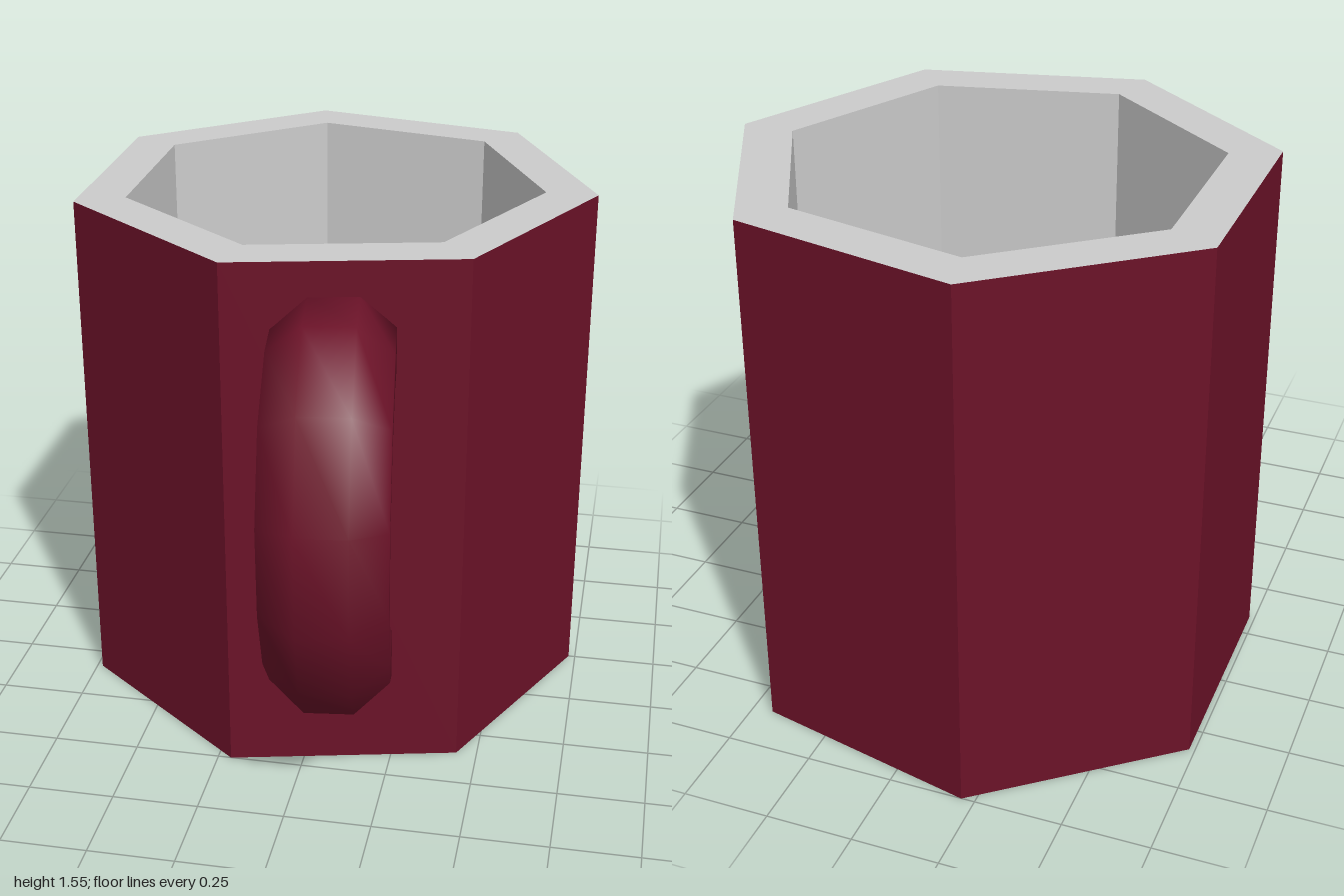
import * as THREE from 'three';

const red = new THREE.MeshStandardMaterial({ color: 0x6b1228 });
const redFlat = red.clone();
redFlat.flatShading = true;
const greyFlat = new THREE.MeshStandardMaterial({ color: 0xcccccc, flatShading: true, side: THREE.DoubleSide });

const HEIGHT = 1.55, OUTER = 0.77, INNER = 0.62;

// Seven-sided shell from [radius, height] pairs, with one corner on +x
function sevenSided(name, profile, material) {
  const points = profile.map(([r, y]) => new THREE.Vector2(r, y));
  const mesh = new THREE.Mesh(new THREE.LatheGeometry(points, 7, Math.PI / 2), material);
  mesh.name = name;
  mesh.position.set(-0.04, 0, -0.25);
  return mesh;
}

// Octagonal handle: each station gives the outer and inner edge in (z, y)
function handleGeometry() {
  const stations = [
    [0.42, 1.45, 0.42, 1.15],
    [0.62, 1.44, 0.54, 1.165],
    [0.86, 1.30, 0.71, 1.12],
    [0.99, 1.03, 0.80, 1.00],
    [0.97, 0.73, 0.77, 0.83],
    [0.85, 0.485, 0.67, 0.69],
    [0.66, 0.30, 0.52, 0.575],
    [0.42, 0.17, 0.41, 0.53],
  ];
  const sides = 8, halfWidth = 0.167, lean = 0.13;
  const positions = [], index = [];
  stations.forEach(([zo, yo, zi, yi], i) => {
    for (let j = 0; j < sides; j++) {
      const a = ((j + 0.5) / sides) * Math.PI * 2;
      const k = 1 / Math.cos(Math.PI / sides);
      const u = Math.cos(a) * k * halfWidth;
      const t = 0.5 + 0.5 * Math.sin(a) * k;
      const z = zi + (zo - zi) * t;
      const y = yi + (yo - yi) * t;
      // the handle leans slightly sideways as it leaves the wall
      positions.push(0.083 + (z - 0.43) * lean + u, y, z - u * lean);
      if (i < stations.length - 1) {
        const n = (j + 1) % sides;
        const p = i * sides + j, q = i * sides + n;
        index.push(p, q, p + sides, q, q + sides, p + sides);
      }
    }
  });
  // end caps against the wall
  const last = (stations.length - 1) * sides;
  for (let j = 1; j < sides - 1; j++) {
    index.push(0, j + 1, j);
    index.push(last, last + j, last + j + 1);
  }
  const geometry = new THREE.BufferGeometry();
  geometry.setAttribute('position', new THREE.Float32BufferAttribute(positions, 3));
  geometry.setIndex(index);
  geometry.computeVertexNormals();
  return geometry;
}

export function createModel() {
  const mug = new THREE.Group();
  mug.name = 'mug';

  // Outer wall and the ring it stands on
  mug.add(sevenSided('outerWall', [[INNER, 0], [OUTER, 0], [OUTER, HEIGHT]], redFlat));

  // Rim, inner wall and floor
  mug.add(sevenSided('rimAndLining', [[OUTER, HEIGHT], [INNER, HEIGHT], [INNER, 0], [0, 0]], greyFlat));

  const handle = new THREE.Mesh(handleGeometry(), red);
  handle.name = 'handle';
  mug.add(handle);

  return mug;
}
